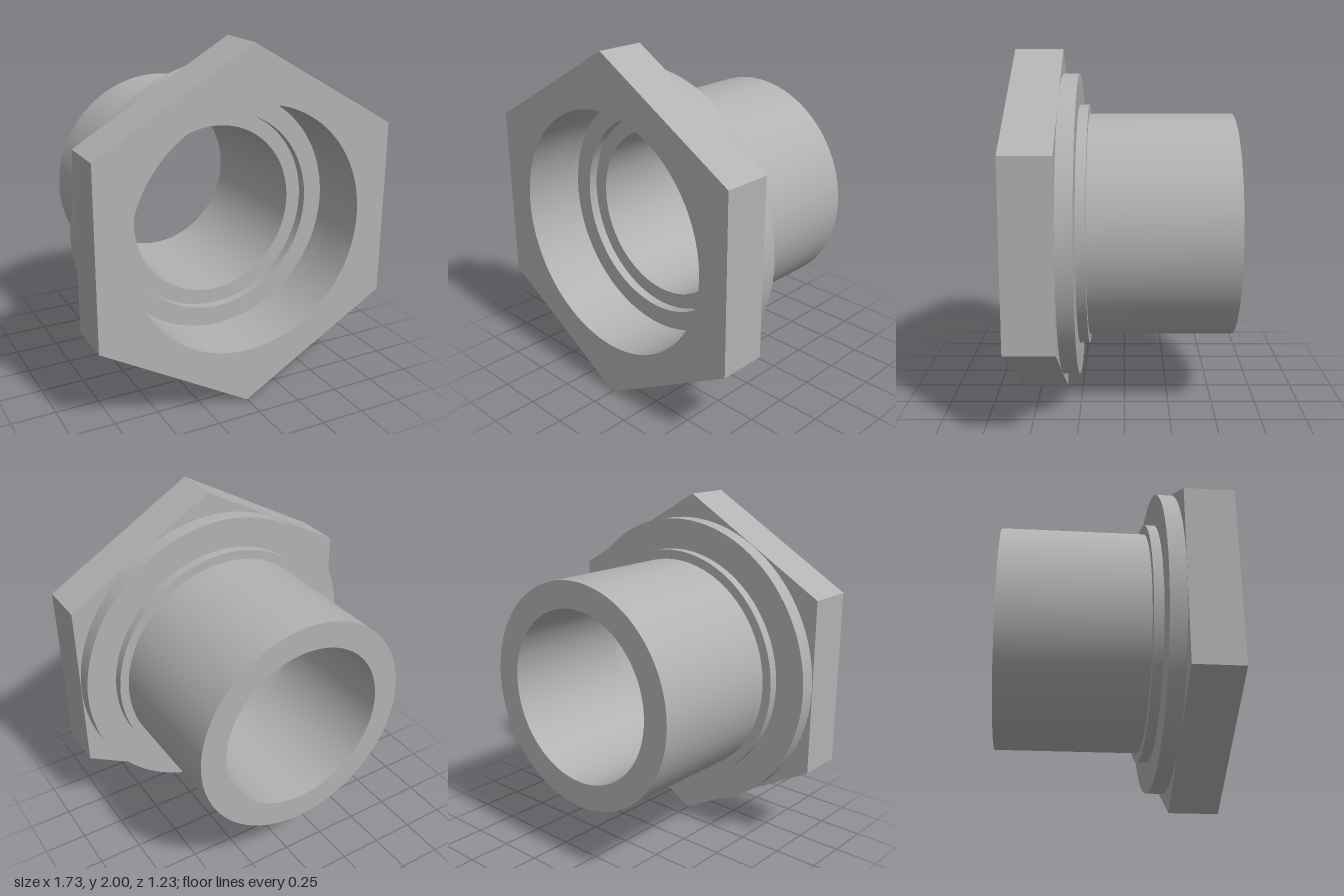
import * as THREE from 'three';
import { toCreasedNormals } from 'three/addons/utils/BufferGeometryUtils.js';

const SEGMENTS = 96;

export function createModel() {
  const group = new THREE.Group();
  group.name = 'threadedFitting';
  const metal = new THREE.MeshStandardMaterial({ color: 0xb2b2b2 });
  metal.name = 'grey metal';

  function add(name, geometry) {
    const mesh = new THREE.Mesh(toCreasedNormals(geometry, 0.5), metal);
    mesh.name = name;
    mesh.position.y = 1;
    group.add(mesh);
  }

  // Hollow ring along z with square edges
  function ring(name, inner, outer, back, front) {
    const profile = [
      [inner, back], [outer, back], [outer, front], [inner, front], [inner, back],
    ].map(([r, z]) => new THREE.Vector2(r, z));
    add(name, new THREE.LatheGeometry(profile, SEGMENTS).rotateX(Math.PI / 2));
  }

  // Hexagonal head, corner up, with a round socket
  const hexagon = new THREE.Shape();
  for (let i = 0; i < 6; i++) {
    const a = Math.PI / 2 + (i * Math.PI) / 3;
    hexagon[i ? 'lineTo' : 'moveTo'](Math.cos(a), Math.sin(a));
  }
  hexagon.closePath();
  hexagon.holes.push(new THREE.Path().absarc(0, 0, 0.687, 0, Math.PI * 2, true));
  const head = new THREE.ExtrudeGeometry(hexagon, {
    depth: 0.27, bevelEnabled: false, curveSegments: SEGMENTS / 2,
  });
  add('hexHead', head.translate(0, 0, 0.343));

  // Stepped rings behind the head, then the long sleeve
  ring('flange', 0.687, 0.864, 0.252, 0.343);
  ring('collar', 0.575, 0.69, 0.198, 0.252);
  ring('sleeve', 0.487, 0.637, -0.613, 0.198);

  return group;
}
